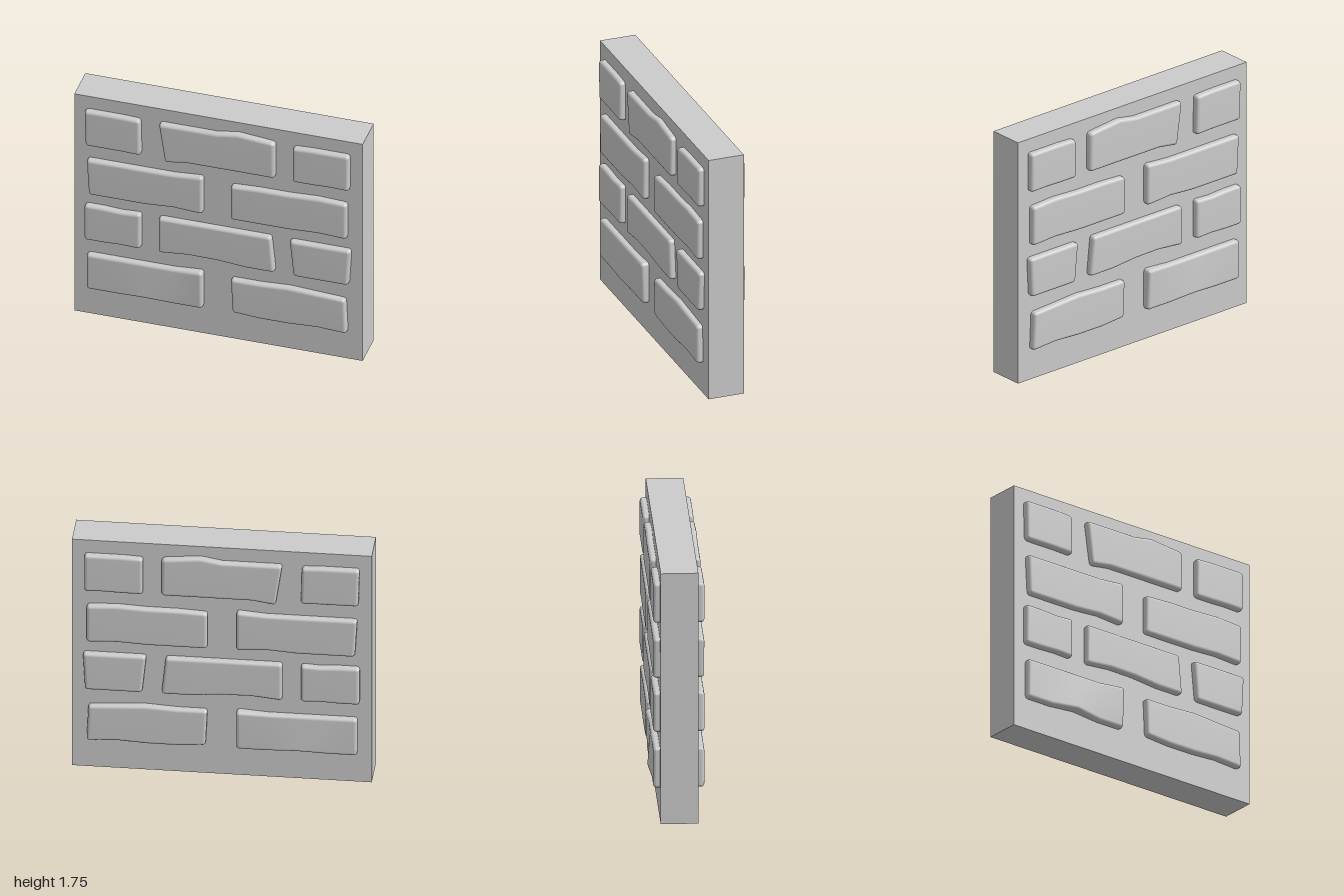
import * as THREE from 'three';
import { mergeVertices } from 'three/addons/utils/BufferGeometryUtils.js';

const RADIUS = 0.022, BRICK_HEIGHT = 0.28, BRICK_DEPTH = 0.34;
const material = new THREE.MeshStandardMaterial({ color: 0xcccccc });

// Grid lines along one side: tight at the rounded ends, even in between
function gridLines(size, spans) {
  const h = size / 2, mid = RADIUS * (1 - Math.tan(Math.PI / 8));
  const end = [h, h - mid, h - RADIUS];
  const inner = [];
  for (let i = 1; i < spans; i++) inner.push(-h + (size * i) / spans);
  return [...end.map((v) => -v), ...inner, ...end.reverse()];
}

// Rounded block whose top and bottom edges carry hand-shaped nudges.
// top / bottom: [column, dx, dy, dz outward]
function brickGeometry(width, columns, top, bottom) {
  const size = [width, BRICK_HEIGHT, BRICK_DEPTH];
  const lines = [gridLines(width, columns), gridLines(BRICK_HEIGHT, 2), gridLines(BRICK_DEPTH, 1)];
  const segs = lines.map((l) => l.length - 1);
  let geometry = new THREE.BoxGeometry(1, 1, 1, ...segs);
  geometry.deleteAttribute('normal');
  geometry.deleteAttribute('uv');
  geometry = mergeVertices(geometry);

  const pos = geometry.attributes.position;
  const p = new THREE.Vector3(), core = new THREE.Vector3(), shift = new THREE.Vector3();
  for (let i = 0; i < pos.count; i++) {
    p.fromBufferAttribute(pos, i);
    p.fromArray(p.toArray().map((v, a) => lines[a][Math.round((v + 0.5) * segs[a])]));

    // Round the edges
    core.fromArray(p.toArray().map((v, a) => THREE.MathUtils.clamp(v, RADIUS - size[a] / 2, size[a] / 2 - RADIUS)));
    p.sub(core).setLength(RADIUS).add(core);

    // Blend the nudges across the face
    const u = (p.x / width + 0.5) * columns, v = p.y / BRICK_HEIGHT + 0.5;
    shift.set(0, 0, 0);
    for (const [list, weight] of [[top, v], [bottom, 1 - v]]) {
      for (const [column, dx, dy, dz = 0] of list) {
        const w = weight * Math.max(0, 1 - Math.abs(u - column));
        shift.x += dx * w;
        shift.y += dy * w;
        shift.z += dz * w * (p.z / (BRICK_DEPTH / 2));
      }
    }
    p.add(shift);
    pos.setXYZ(i, p.x, p.y, p.z);
  }
  geometry.computeVertexNormals();
  return geometry;
}

// Courses from the bottom up; each brick: left x, right x, columns, top and bottom nudges
const COURSES = [
  { y: 0.36, bricks: [
    [-0.905, -0.1, 4, [[4, 0, 0.015, 0.015]], [[2, 0, 0.018, 0.02]]],
    [0.095, 0.9, 4, [[2, 0, 0.012], [4, -0.012, -0.01]], [[0, 0.012, 0.014], [3, 0, 0.012]]],
  ] },
  { y: 1.122, bricks: [
    [-0.905, -0.1, 4, [[4, 0, 0.016]], [[0, 0.016, 0], [3, 0, 0.014]]],
    [0.095, 0.9, 4, [[0, 0, -0.01], [3, 0, 0.01]], [[3, 0, 0.01]]],
  ] },
  { y: 0.753, bricks: [
    [-0.92, -0.53, 3, [[2, 0, -0.008]], [[2, 0, 0.006]]],
    [-0.405, 0.4, 4, [[4, -0.028, 0]], [[1, 0, 0.02], [2, 0, 0.018]]],
    [0.53, 0.915, 3, [[0, -0.028, 0], [3, 0.01, 0]], [[3, -0.005, 0]]],
  ] },
  { y: 1.513, bricks: [
    [-0.92, -0.53, 3, [[3, -0.006, -0.006]], [[0, 0.008, 0], [3, 0, -0.004]]],
    [-0.405, 0.4, 4, [[3, -0.06, 0.025]], [[0, 0.045, -0.024]]],
    [0.525, 0.915, 3, [[0, 0, -0.006]], [[2, 0, 0.004]]],
  ] },
];

export function createModel() {
  const group = new THREE.Group();
  group.name = 'brickWall';

  // Plain slab
  const slab = new THREE.Mesh(new THREE.BoxGeometry(2, 1.75, 0.25), material);
  slab.name = 'wallSlab';
  slab.position.y = 0.875;
  group.add(slab);

  // Bricks run through the slab and stand out on both faces
  for (const { y, bricks } of COURSES) {
    const course = new THREE.Group();
    course.name = 'brickCourse';
    for (const [x0, x1, columns, top, bottom] of bricks) {
      const brick = new THREE.Mesh(brickGeometry(x1 - x0, columns, top, bottom), material);
      brick.name = 'brick';
      brick.position.set((x0 + x1) / 2, y, 0);
      course.add(brick);
    }
    group.add(course);
  }
  return group;
}
